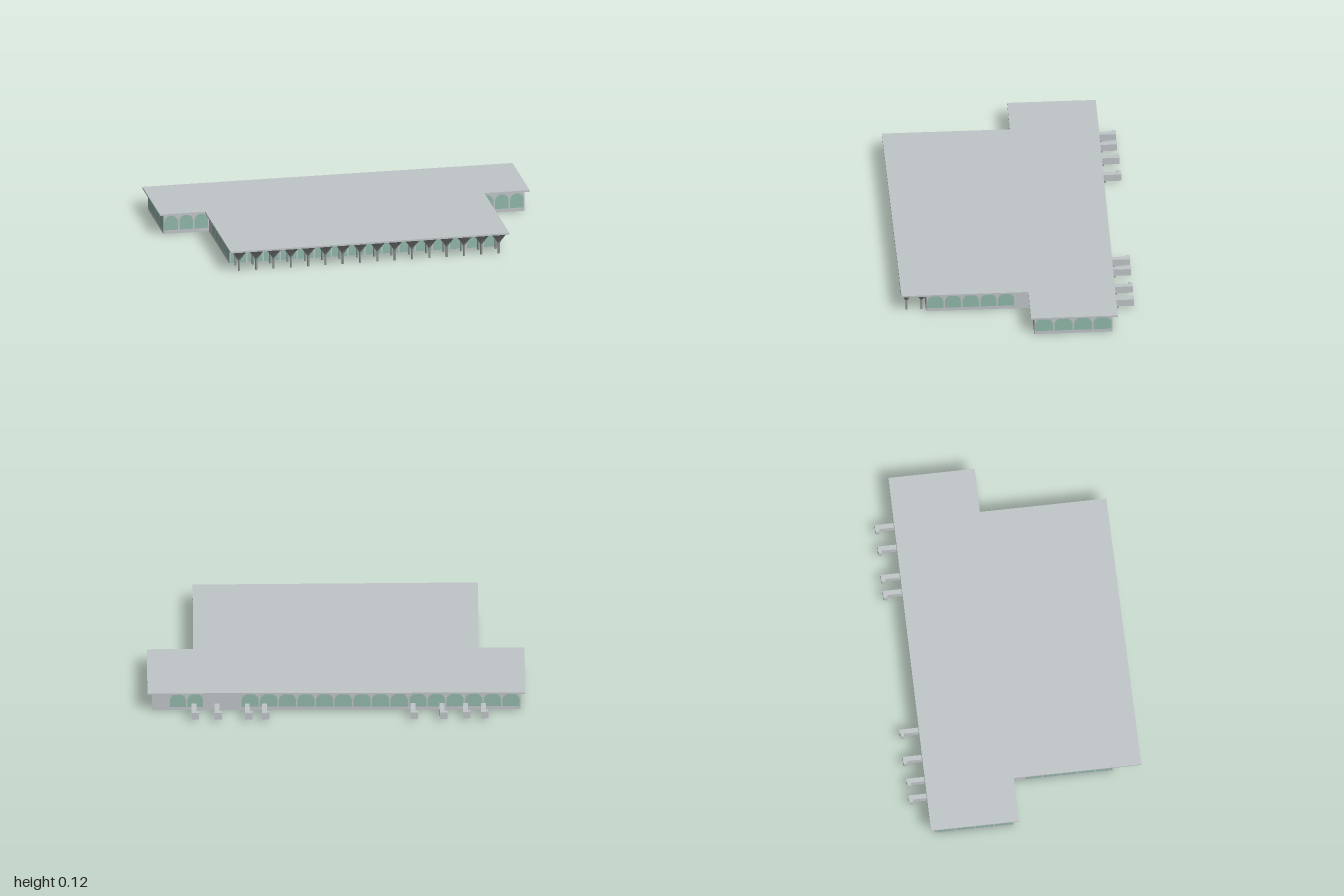
import * as THREE from 'three';

const mat = (name, color, side = THREE.FrontSide) => {
  const m = new THREE.MeshStandardMaterial({ color, side });
  m.name = name;
  return m;
};

export function createModel() {
  const model = new THREE.Group();
  model.name = 'terminalBuilding';
  const concrete = mat('paleConcrete', 0xc0c5c8);
  const wallPaint = mat('paleWall', 0xc0c5c8, THREE.DoubleSide);
  const glass = mat('greenGlass', 0x92b8aa);
  const steel = mat('greySteel', 0x949898, THREE.DoubleSide);

  const add = (parent, name, geometry, material, x = 0, y = 0, z = 0) => {
    const mesh = new THREE.Mesh(geometry, material);
    mesh.name = name;
    mesh.position.set(x, y, z);
    parent.add(mesh);
    return mesh;
  };

  // Flat T-shaped roof slab
  const roofOutline = [
    [-1, -0.525], [1, -0.525], [1, -0.065], [0.755, -0.065],
    [0.755, 0.608], [-0.755, 0.624], [-0.755, -0.055], [-1, -0.055],
  ];
  const roofShape = new THREE.Shape(roofOutline.map(([x, z]) => new THREE.Vector2(x, -z)));
  const roofGeo = new THREE.ExtrudeGeometry(roofShape, { depth: 0.009, bevelEnabled: false });
  roofGeo.rotateX(-Math.PI / 2);
  add(model, 'roof', roofGeo, concrete, 0, 0.11, 0);

  // Round-topped window pane, standing on y = bottom
  const archGeometry = (width, bottom) => {
    const r = width / 2, spring = 0.1 - Math.min(r, 0.042);
    const s = new THREE.Shape();
    s.moveTo(-r, bottom);
    s.lineTo(r, bottom);
    s.lineTo(r, spring);
    s.absellipse(0, spring, r, 0.1 - spring, 0, Math.PI, false);
    s.lineTo(-r, bottom);
    return new THREE.ShapeGeometry(s, 10);
  };

  // Walls run round the footprint; each window run is [start, end, count, bottom]
  const height = 0.111;
  const walls = [
    ['frontWall', -0.73, 0.475, 0.73, 0.475, [[0, 1.46, 16, 0.005]]],
    ['leftWall', 0.73, 0.475, 0.73, -0.083, [[0, 0.47, 5, 0.02]]],
    ['leftWingFront', 0.73, -0.083, 0.975, -0.083, [[0, 0.245, 3, 0.02]]],
    ['leftWingEnd', 0.975, -0.083, 0.975, -0.497, [[0, 0.414, 4, 0.02]]],
    ['backWall', 0.975, -0.497, -0.975, -0.497, [[0.09, 0.275, 2, 0.02], [0.47, 1.95, 15, 0.02]]],
    ['rightWingEnd', -0.975, -0.497, -0.975, -0.083, [[0, 0.414, 4, 0.02]]],
    ['rightWingFront', -0.975, -0.083, -0.73, -0.083, [[0, 0.245, 3, 0.02]]],
    ['rightWall', -0.73, -0.083, -0.73, 0.475, [[0.088, 0.558, 5, 0.02]]],
  ];
  for (const [name, x1, z1, x2, z2, runs] of walls) {
    const side = new THREE.Group();
    side.name = name;
    side.position.set(x1, 0, z1);
    side.rotation.y = Math.atan2(z1 - z2, x2 - x1);
    const length = Math.hypot(x2 - x1, z2 - z1);
    add(side, name + 'Panel', new THREE.PlaneGeometry(length, height), wallPaint, length / 2, height / 2, 0);
    for (const [start, end, count, bottom] of runs) {
      const step = (end - start) / count;
      const pane = archGeometry(step - 0.008, bottom);
      for (let i = 0; i < count; i++) {
        add(side, 'archedWindow', pane, glass, start + (i + 0.5) * step, 0, 0.002);
      }
    }
    model.add(side);
  }

  // Trumpet-headed column whose head is cut flat at the given z limits
  const profile = [
    [0.006, 0], [0.006, 0.056], [0.009, 0.065], [0.016, 0.076],
    [0.026, 0.089], [0.035, 0.1], [0.046, 0.11],
  ].map(([r, y]) => new THREE.Vector2(r, y));
  const columnGeometry = (minZ, maxZ) => {
    const geo = new THREE.LatheGeometry(profile, 16);
    const p = geo.attributes.position;
    for (let i = 0; i < p.count; i++) p.setZ(i, THREE.MathUtils.clamp(p.getZ(i), minZ, maxZ));
    return geo;
  };

  // Inner row stops at the front wall, outer row at the slanting roof edge
  const innerGeo = columnGeometry(-0.021, 0.046);
  const outerGeo = columnGeometry(-0.046, 0.03);
  const columns = new THREE.Group();
  columns.name = 'canopyColumns';
  for (let i = 0; i < 16; i++) {
    const x = -0.703 + i * 0.0937;
    add(columns, 'innerColumn', innerGeo, steel, x, 0, 0.499);
    add(columns, 'outerColumn', outerGeo, steel, x, 0, 0.585 - 0.009 * x);
  }
  model.add(columns);

  // Boarding bridges behind the building, each with a side-facing head and a post
  const headGeo = new THREE.BoxGeometry(0.014, 0.04, 0.02);
  const postGeo = new THREE.BoxGeometry(0.008, 0.016, 0.008);
  const bridges = [
    [-0.78, 0.094], [-0.685, 0.094], [-0.561, 0.1], [-0.406, 0.1],
    [0.38, 0.1], [0.471, 0.1], [0.632, 0.1], [0.754, 0.1],
  ];
  for (const [x, length] of bridges) {
    const bridge = new THREE.Group();
    bridge.name = 'boardingBridge';
    bridge.position.set(x, 0, -0.525);
    add(bridge, 'bridgeTunnel', new THREE.BoxGeometry(0.026, 0.04, length), concrete, 0, 0.036, -length / 2);
    add(bridge, 'bridgeHead', headGeo, concrete, -0.02, 0.036, 0.012 - length);
    add(bridge, 'bridgePost', postGeo, steel, 0, 0.008, -0.014);
    model.add(bridge);
  }

  return model;
}
